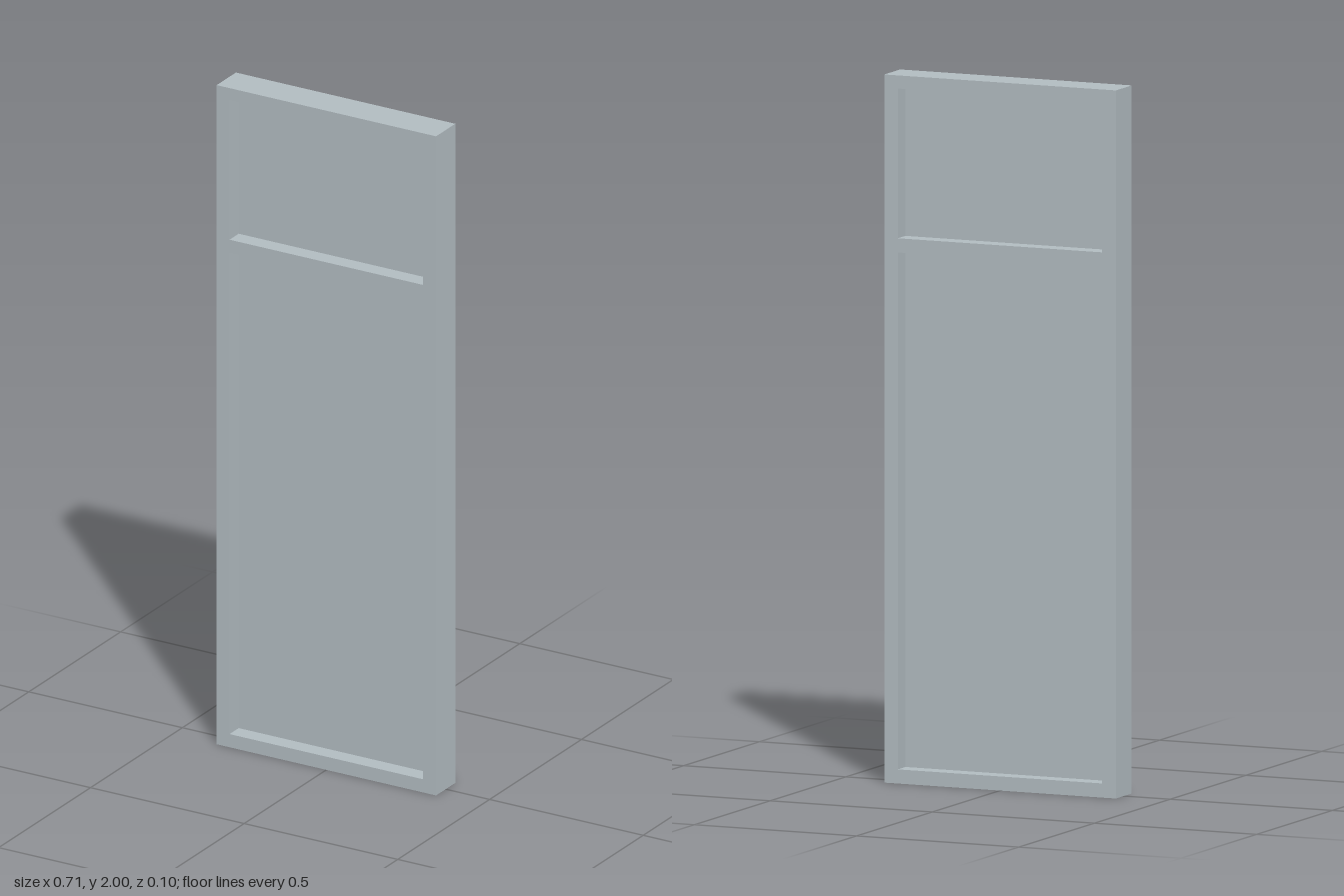
import * as THREE from 'three';

const WIDTH = 0.714, HEIGHT = 2, DEPTH = 0.105;
const INNER = 0.315; // half width of both openings
const OPENINGS = [
  { name: 'lowerPanel', bottom: 0.04, top: 1.5 },
  { name: 'upperPanel', bottom: 1.54, top: 1.963 },
];

// Traces a rectangle centred on x = 0
function rectangle(path, halfWidth, bottom, top) {
  path.moveTo(-halfWidth, bottom);
  path.lineTo(halfWidth, bottom);
  path.lineTo(halfWidth, top);
  path.lineTo(-halfWidth, top);
  path.closePath();
  return path;
}

export function createModel() {
  const group = new THREE.Group();
  group.name = 'windowWithTransom';

  const metal = new THREE.MeshStandardMaterial({ color: 0xb2bcc1 });
  metal.name = 'paleGreyMetal';

  // Outer frame and crossbar, one piece with two openings
  const outline = rectangle(new THREE.Shape(), WIDTH / 2, 0, HEIGHT);
  for (const { bottom, top } of OPENINGS) {
    outline.holes.push(rectangle(new THREE.Path(), INNER, bottom, top));
  }
  const frameGeometry = new THREE.ExtrudeGeometry(outline, { depth: DEPTH, bevelEnabled: false });
  frameGeometry.translate(0, 0, -DEPTH / 2);
  const frame = new THREE.Mesh(frameGeometry, metal);
  frame.name = 'frame';
  group.add(frame);

  // Thin panes set midway through the frame depth
  for (const { name, bottom, top } of OPENINGS) {
    const pane = new THREE.Mesh(new THREE.BoxGeometry(INNER * 2, top - bottom, 0.005), metal);
    pane.name = name;
    pane.position.y = (bottom + top) / 2;
    group.add(pane);
  }

  return group;
}
